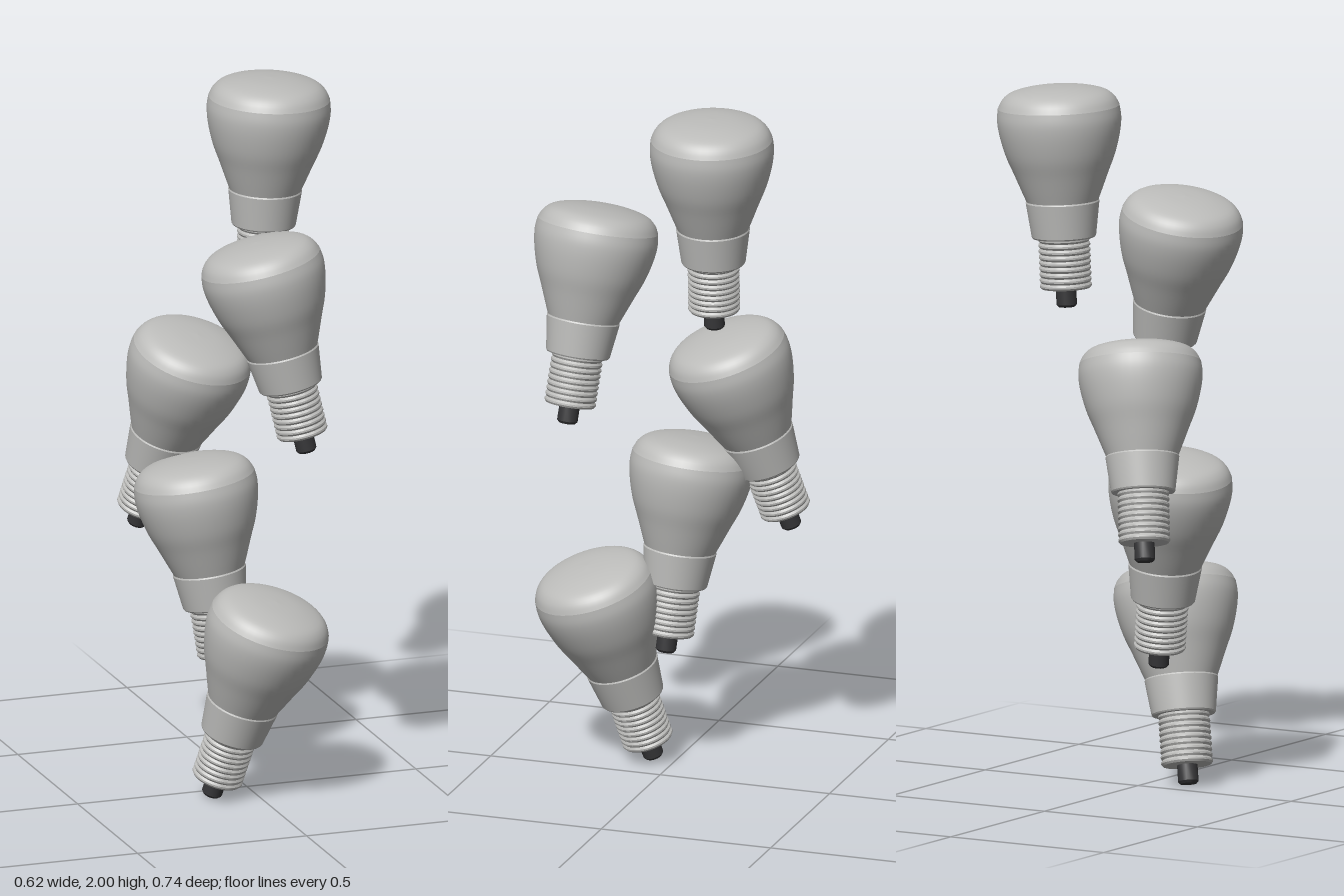
import * as THREE from 'three';
import { toCreasedNormals } from 'three/addons/utils/BufferGeometryUtils.js';

const SEGMENTS = 48;
const vec2 = ([r, y]) => new THREE.Vector2(r, y);

// turned shape from [radius, height] pairs listed from bottom to top
function turned(points, crease = 0.5, segments = SEGMENTS) {
  return toCreasedNormals(new THREE.LatheGeometry(points.map(vec2), segments), crease);
}

// smooth profile through a few [radius, height] pairs
function curved(points, divisions) {
  const pts = new THREE.SplineCurve(points.map(vec2)).getPoints(divisions);
  return new THREE.LatheGeometry(pts, SEGMENTS);
}

// fine ridges of the screw base
function screwProfile() {
  const bottom = 0.053, top = 0.2, ridges = 9, step = (top - bottom) / ridges;
  const pts = [[0, bottom], [0.068, bottom]];
  for (let i = 0; i < ridges; i++) {
    const y = bottom + i * step;
    pts.push([0.0725, y + step * 0.35], [0.0725, y + step * 0.65], [0.068, y + step]);
  }
  return pts;
}

export function createModel() {
  const model = new THREE.Group();
  const grey = new THREE.MeshStandardMaterial({ color: 0xbcbcba });
  grey.name = 'light grey';
  const dark = new THREE.MeshStandardMaterial({ color: 0x363638 });
  dark.name = 'dark contact';

  // one bulb standing on its contact, axis along +y
  const parts = [
    ['contact', dark, turned([[0, 0], [0.023, 0], [0.029, 0.007], [0.029, 0.055], [0, 0.055]], 0.6, 16)],
    ['screwBase', grey, turned(screwProfile(), 0.4)],
    ['collar', grey, turned([[0, 0.196], [0.087, 0.196], [0.09, 0.2], [0.103, 0.296], [0.1, 0.302], [0, 0.302]])],
    ['bulbBody', grey, curved([[0.1, 0.298], [0.113, 0.33], [0.132, 0.378], [0.153, 0.43],
      [0.168, 0.486], [0.1735, 0.53], [0.17, 0.564]], 24)],
    ['dome', grey, curved([[0.17, 0.564], [0.157, 0.588], [0.13, 0.607], [0.07, 0.62], [0, 0.624]], 16)],
  ];

  // contact position and lean (offset over the bulb's length to its rim)
  const RIM = 0.562;
  const bulbs = [
    [[0.111, 1.376, -0.199], [0.026, -0.001]],
    [[0.092, 1.04, 0.243], [-0.119, -0.05]],
    [[-0.215, 0.7, -0.315], [0.11, 0.155]],
    [[-0.063, 0.345, 0.006], [-0.075, -0.055]],
    [[-0.127, 0.01, 0.062], [0.127, 0.135]],
  ];
  const up = new THREE.Vector3(0, 1, 0);
  bulbs.forEach(([position, [dx, dz]], i) => {
    const bulb = new THREE.Group();
    bulb.name = `lightBulb${i + 1}`;
    for (const [name, material, geometry] of parts) {
      const mesh = new THREE.Mesh(geometry, material);
      mesh.name = name;
      bulb.add(mesh);
    }
    const axis = new THREE.Vector3(dx, Math.sqrt(RIM * RIM - dx * dx - dz * dz), dz).normalize();
    bulb.quaternion.setFromUnitVectors(up, axis);
    bulb.position.set(...position);
    model.add(bulb);
  });
  return model;
}
